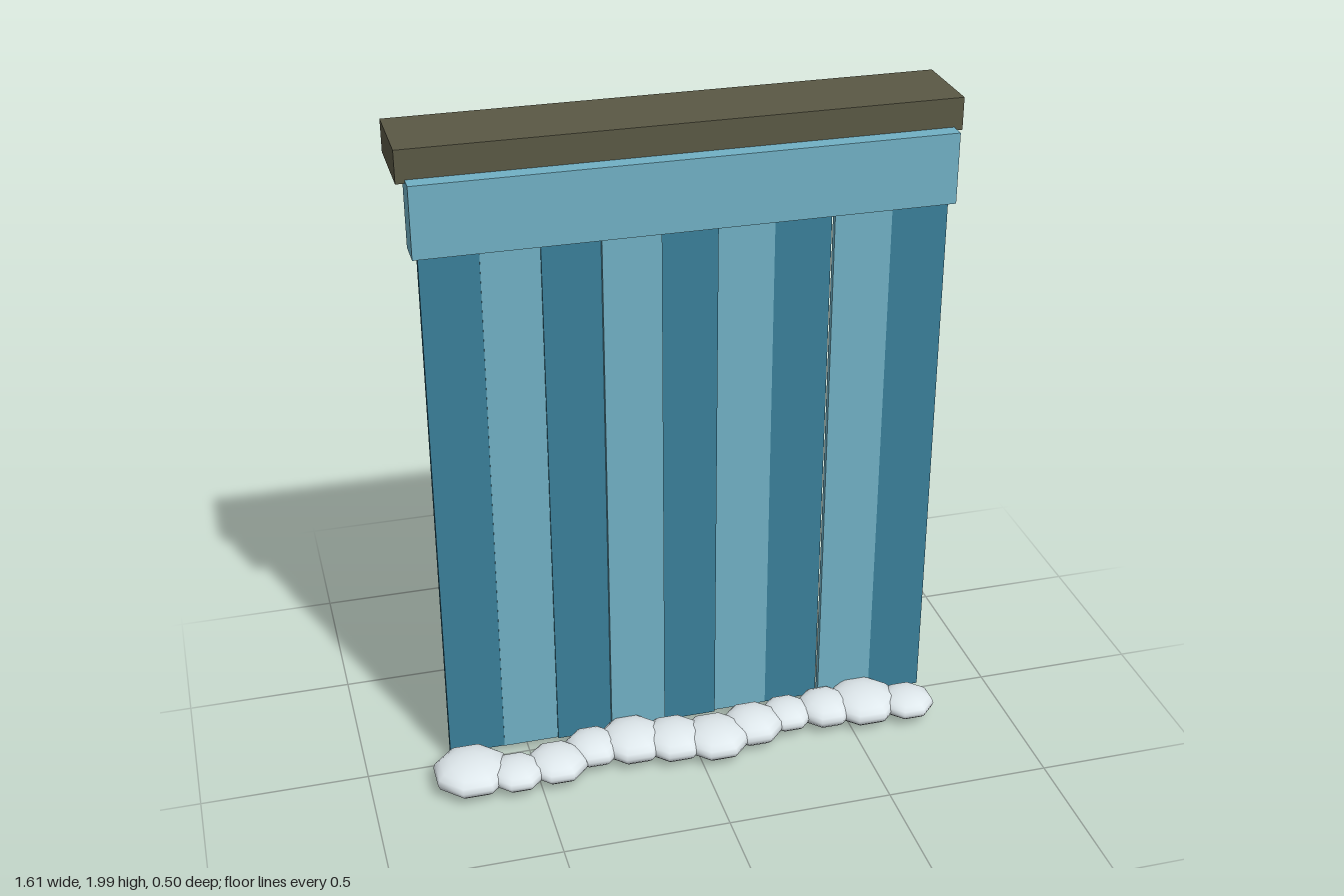
import * as THREE from 'three';

const mat = (color) => new THREE.MeshStandardMaterial({ color });

function addBox(group, name, material, [x0, x1], [y0, y1], [z0, z1]) {
  const mesh = new THREE.Mesh(new THREE.BoxGeometry(x1 - x0, y1 - y0, z1 - z0), material);
  mesh.position.set((x0 + x1) / 2, (y0 + y1) / 2, (z0 + z1) / 2);
  mesh.name = name;
  group.add(mesh);
}

export function createModel() {
  const model = new THREE.Group();
  model.name = 'waterfall';
  const rock = mat(0x5a5844);
  const lightWater = mat(0x70b0c4);
  const darkWater = mat(0x3a7f99);
  const foam = mat(0xdfe8ec);

  // Rock ledge and the lip of water pouring over it
  addBox(model, 'ledge', rock, [-0.79, 0.805], [1.905, 2], [-0.255, -0.004]);
  addBox(model, 'waterLip', lightWater, [-0.765, 0.78], [1.705, 1.915], [-0.048, 0.045]);

  // Falling water: alternating strips, each set at a slightly different depth
  const strips = new THREE.Group();
  strips.name = 'waterStrips';
  const depths = [-0.02, -0.018, -0.012, 0.001, -0.02, -0.029, -0.03, 0.002, 0];
  depths.forEach((z, i) => {
    const x = -0.659 + i * 0.168;
    addBox(strips, 'waterStrip', i % 2 ? lightWater : darkWater,
      [x - 0.085, x + 0.085], [0.037, 1.914], [z - 0.01, z + 0.01]);
  });
  model.add(strips);

  // Flattened foam mounds along the foot: x, z, radius, half height
  const mounds = [
    [-0.7, 0.12, 0.11, 0.05], [-0.57, 0.162, 0.08, 0.039], [-0.443, 0.146, 0.088, 0.042],
    [-0.32, 0.098, 0.082, 0.043], [-0.195, 0.095, 0.1, 0.05], [-0.07, 0.122, 0.096, 0.048],
    [0.055, 0.146, 0.1, 0.047], [0.185, 0.113, 0.09, 0.047], [0.305, 0.088, 0.076, 0.039],
    [0.43, 0.088, 0.085, 0.046], [0.555, 0.088, 0.105, 0.05], [0.69, 0.123, 0.08, 0.038],
  ];
  const foamGroup = new THREE.Group();
  foamGroup.name = 'foam';
  const ball = new THREE.SphereGeometry(1, 8, 10).rotateY(Math.PI / 8);
  for (const [x, z, r, h] of mounds) {
    const mesh = new THREE.Mesh(ball, foam);
    mesh.name = 'foamMound';
    mesh.position.set(x, 0.06, z);
    mesh.scale.set(r / 0.924, h, r / 0.924);
    foamGroup.add(mesh);
  }
  model.add(foamGroup);

  // Rest the lowest mound on the ground
  const box = new THREE.Box3().setFromObject(model);
  model.children.forEach((part) => { part.position.y -= box.min.y; });
  return model;
}
